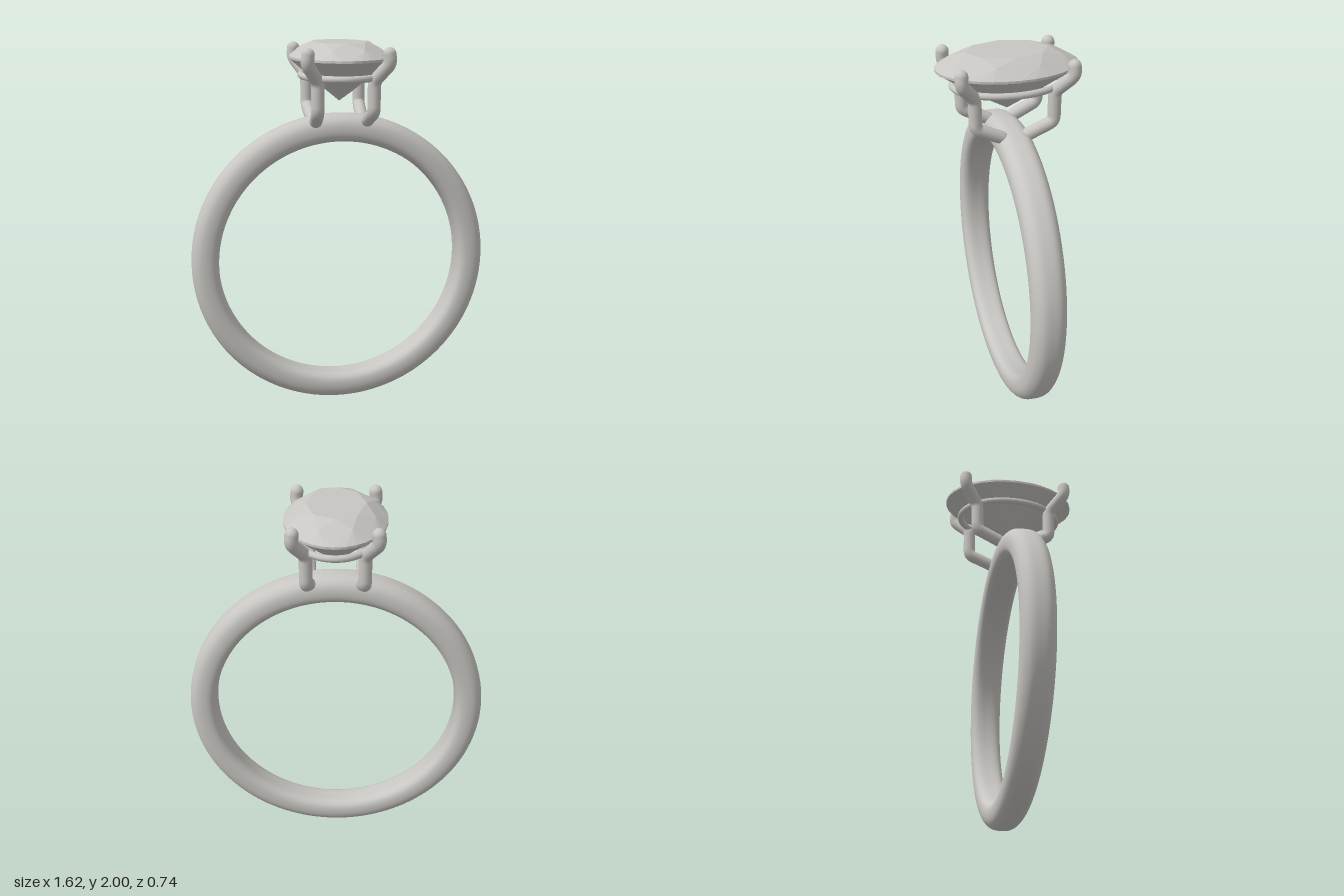
import * as THREE from 'three';
import { ConvexGeometry } from 'three/addons/geometries/ConvexGeometry.js';

const metal = new THREE.MeshStandardMaterial({ color: 0xc8c6c2 });
metal.name = 'pale grey';

function part(name, geometry, parent) {
  const mesh = new THREE.Mesh(geometry, metal);
  mesh.name = name;
  parent.add(mesh);
  return mesh;
}

// Rounded band, turned around z and slightly narrower towards the bottom
function bandGeometry() {
  const section = [
    [0.665, 0], [0.669, -0.06], [0.69, -0.086], [0.73, -0.094], [0.775, -0.084], [0.806, -0.05],
    [0.812, 0], [0.806, 0.05], [0.775, 0.084], [0.73, 0.094], [0.69, 0.086], [0.669, 0.06],
  ].map(([r, h]) => new THREE.Vector3(r, h, 0));
  const outline = new THREE.CatmullRomCurve3(section, true).getPoints(48);
  const geo = new THREE.LatheGeometry(outline.map((p) => new THREE.Vector2(p.x, p.y)), 128);
  geo.rotateX(Math.PI / 2).translate(0, 0.812, 0);
  const pos = geo.attributes.position;
  for (let i = 0; i < pos.count; i++) {
    pos.setZ(i, pos.getZ(i) * (0.87 + 0.08 * pos.getY(i)));
  }
  return geo;
}

// Oval brilliant cut: each ring is [relative radius, height, corners, angle offset]
function stoneGeometry() {
  const rings = [
    [0.58, 2.0, 8, 0],
    [0.8, 1.972, 8, Math.PI / 8],
    [1, 1.925, 32, 0],
    [1, 1.913, 32, 0],
    [0.3, 1.751, 8, Math.PI / 8],
  ];
  const points = [new THREE.Vector3(0, 1.69, 0)];
  for (const [r, y, n, offset] of rings) {
    for (let i = 0; i < n; i++) {
      const a = offset + (i / n) * Math.PI * 2;
      points.push(new THREE.Vector3(0.263 * r * Math.cos(a), y, 0.37 * r * Math.sin(a)));
    }
  }
  return new ConvexGeometry(points);
}

// Bent wire: straight runs joined by small rounded corners
function wirePath(points) {
  const path = new THREE.CurvePath();
  let from = points[0];
  for (let i = 1; i < points.length - 1; i++) {
    const corner = points[i];
    const before = corner.clone().lerp(points[i - 1], 0.03 / corner.distanceTo(points[i - 1]));
    const after = corner.clone().lerp(points[i + 1], 0.03 / corner.distanceTo(points[i + 1]));
    path.add(new THREE.LineCurve3(from, before));
    path.add(new THREE.QuadraticBezierCurve3(before, corner, after));
    from = after;
  }
  path.add(new THREE.LineCurve3(from, points[points.length - 1]));
  return path;
}

function addProng(sx, sz, parent) {
  const prong = new THREE.Group();
  prong.name = (sz > 0 ? 'front' : 'back') + (sx > 0 ? 'Left' : 'Right') + 'Prong';
  const points = [
    [0.137, 1.588, 0.07], [0.146, 1.65, 0.206], [0.146, 1.81, 0.208],
    [0.212, 1.905, 0.288], [0.206, 1.952, 0.286],
  ].map(([x, y, z]) => new THREE.Vector3(x * sx, y, z * sz));
  part('prongWire', new THREE.TubeGeometry(wirePath(points), 64, 0.034, 16), prong);
  for (const [name, p] of [['prongFoot', points[0]], ['prongTip', points[4]]]) {
    part(name, new THREE.SphereGeometry(0.034, 16, 12), prong).position.copy(p);
  }
  parent.add(prong);
}

// Oval gallery rail under the stone
class OvalCurve extends THREE.Curve {
  getPoint(t, target = new THREE.Vector3()) {
    const a = t * Math.PI * 2;
    return target.set(0.202 * Math.cos(a), 1.826, 0.282 * Math.sin(a));
  }
}

export function createModel() {
  const ring = new THREE.Group();
  ring.name = 'ring';
  part('band', bandGeometry(), ring);
  part('stone', stoneGeometry(), ring);
  part('galleryRail', new THREE.TubeGeometry(new OvalCurve(), 80, 0.018, 12, true), ring);
  for (const sx of [1, -1]) for (const sz of [1, -1]) addProng(sx, sz, ring);
  return ring;
}
